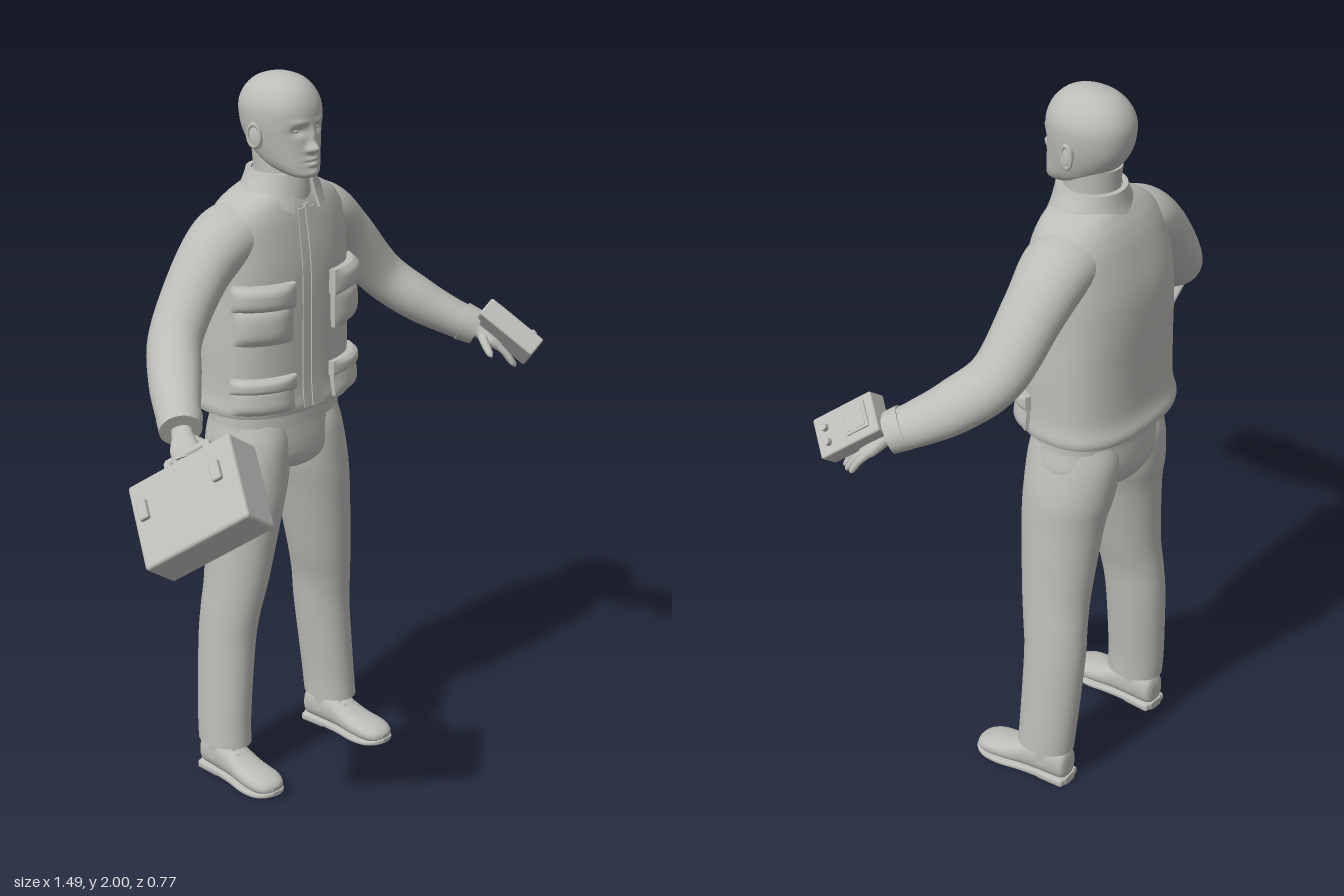
import * as THREE from 'three';
import { RoundedBoxGeometry } from 'three/addons/geometries/RoundedBoxGeometry.js';

const grey = new THREE.MeshStandardMaterial({ color: 0xbcbcb8 });
grey.name = 'plain grey';
const V = (x, y, z) => new THREE.Vector3(x, y, z);
const UP = V(0, 1, 0), FWD = V(0, 0, 1);

function add(parent, name, geometry, x = 0, y = 0, z = 0) {
  const m = new THREE.Mesh(geometry, grey);
  m.name = name;
  m.position.set(x, y, z);
  parent.add(m);
  return m;
}

// Catmull-Rom sample of a list of sections [x, y, z, halfWidth, halfDepth]
function sample(s, t) {
  const i = Math.min(Math.floor(t), s.length - 2), f = t - i;
  const at = k => s[Math.max(0, Math.min(s.length - 1, k))];
  return s[0].map((_, k) => {
    const a = at(i - 1)[k], b = at(i)[k], c = at(i + 1)[k], d = at(i + 2)[k];
    return b + 0.5 * f * (c - a + f * (2 * a - 5 * b + 4 * c - d + f * (3 * (b - c) + d - a)));
  });
}
const power = (v, n) => Math.sign(v) * Math.pow(Math.abs(v), 2 / n);

// Closed skin over superellipse rings; axis fixes the ring direction, otherwise rings follow the path
function loft(sections, { axis, ref = FWD, seg = 40, steps = 8, n = 2, shape } = {}) {
  const rings = (sections.length - 1) * steps, pos = [], idx = [];
  for (let i = 0; i <= rings; i++) {
    const t = i / steps, p = sample(sections, t);
    const a = sample(sections, Math.max(0, t - 0.05)), b = sample(sections, Math.min(sections.length - 1, t + 0.05));
    const T = axis || V(b[0] - a[0], b[1] - a[1], b[2] - a[2]).normalize();
    const U = T.clone().cross(ref).normalize(), W = U.clone().cross(T);
    for (let j = 0; j < seg; j++) {
      const q = j / seg * Math.PI * 2;
      const v = V(p[0], p[1], p[2]).addScaledVector(U, p[3] * power(Math.cos(q), n)).addScaledVector(W, p[4] * power(Math.sin(q), n));
      if (shape) shape(v);
      pos.push(v.x, v.y, v.z);
    }
  }
  for (let i = 0; i < rings; i++) for (let j = 0; j < seg; j++) {
    const p = i * seg + j, r = i * seg + (j + 1) % seg;
    idx.push(p, p + seg, r, r, p + seg, r + seg);
  }
  // end caps with their own vertices
  for (const [ring, section, flip] of [[0, sections[0], 0], [rings, sections[sections.length - 1], 1]]) {
    const c = pos.length / 3;
    pos.push(section[0], section[1], section[2]);
    for (let j = 0; j < seg; j++) {
      const k = (ring * seg + j) * 3, p = c + 1 + j, r = c + 1 + (j + 1) % seg;
      pos.push(pos[k], pos[k + 1], pos[k + 2]);
      idx.push(c, flip ? r : p, flip ? p : r);
    }
  }
  const g = new THREE.BufferGeometry();
  g.setAttribute('position', new THREE.Float32BufferAttribute(pos, 3));
  g.setIndex(idx);
  g.computeVertexNormals();
  return g;
}

// Sections of upright shapes: [y, halfWidth, zFront, zBack]
const upright = list => list.map(([y, w, f, b]) => [0, y, (f + b) / 2, w, (f - b) / 2]);
const JACKET = upright([[1.09, .226, -.066, -.385], [1.11, .23, -.064, -.387], [1.16, .224, -.07, -.374], [1.28, .222, -.07, -.372],
  [1.4, .218, -.07, -.374], [1.5, .218, -.072, -.366], [1.6, .212, -.085, -.338], [1.65, .186, -.095, -.318],
  [1.68, .15, -.105, -.3], [1.7, .108, -.115, -.285], [1.72, .07, -.13, -.265]]);
const COLLAR = upright([[1.655, .128, -.085, -.3], [1.7, .104, -.1, -.284], [1.745, .08, -.108, -.276]]);

// Curved plate lying on an upright surface; angles in degrees, 90 is the front
function plate(surface, centre, span, y0, y1, thick, { bulge = 0, dip = 0, n = 2.5, seg = 16 } = {}) {
  const g = new THREE.BoxGeometry(1, 1, 1, seg, 8, 1), p = g.attributes.position;
  for (let i = 0; i < p.count; i++) {
    const u = p.getX(i), v = p.getY(i), a = (centre - u * span) * Math.PI / 180;
    let y = y0 + (v + 0.5) * (y1 - y0);
    let k = 0;
    while (k < surface.length - 2 && surface[k + 1][1] < y) k++;
    const f = (y - surface[k][1]) / (surface[k + 1][1] - surface[k][1]);
    const [, , zc, w, d] = sample(surface, k + f);
    const round = (1 - Math.pow(2 * u, 4)) * (1 - Math.pow(2 * v, 4));
    const off = p.getZ(i) > 0 ? thick + bulge * round : -0.006;
    y -= dip * Math.pow(Math.max(0, Math.sin(a)), 6) * (0.5 - v);
    p.setXYZ(i, (w + off) * power(Math.cos(a), n), y, zc + (d + off) * power(Math.sin(a), n));
  }
  g.computeVertexNormals();
  return g;
}

// Facial relief: [x, y, depth, spreadX, spreadY]
const FACE = [[0, 1.815, .024, .013, .014], [0, 1.845, .012, .009, .024], [-.036, 1.862, -.013, .018, .012], [.036, 1.862, -.013, .018, .012],
  [-.016, 1.812, .008, .008, .008], [.016, 1.812, .008, .008, .008], [0, 1.786, .009, .02, .006], [0, 1.772, .009, .017, .006],
  [0, 1.779, -.004, .024, .003], [0, 1.748, .006, .022, .012], [-.036, 1.886, .004, .022, .007], [.036, 1.886, .004, .022, .007]];
function sculptFace(v) {
  if (v.z < -.17) return;
  const x = v.x, y = v.y;
  for (const [fx, fy, d, sx, sy] of FACE) v.z += d * Math.exp(-(((x - fx) / sx) ** 2) - ((y - fy) / sy) ** 2);
}

function buildHead(body) {
  add(body, 'neck', loft(upright([[1.66, .075, -.11, -.285], [1.72, .064, -.115, -.27], [1.8, .066, -.12, -.275]]), { axis: UP }));
  add(body, 'head', loft(upright([[1.732, .02, -.08, -.12], [1.742, .045, -.066, -.16], [1.765, .066, -.066, -.225], [1.8, .08, -.07, -.268],
    [1.84, .09, -.072, -.295], [1.88, .096, -.07, -.306], [1.92, .096, -.073, -.306], [1.955, .082, -.088, -.29],
    [1.982, .058, -.115, -.26], [1.996, .028, -.15, -.22], [2, .004, -.18, -.19]]),
    { axis: UP, n: 2.15, seg: 120, steps: 10, shape: sculptFace }));
  for (const s of [-1, 1]) {
    add(body, 'eye', new THREE.SphereGeometry(.013, 16, 12), s * .036, 1.862, -.1).scale.set(1.2, .7, 1);
    const ear = add(body, 'ear', new THREE.SphereGeometry(1, 20, 16), s * .094, 1.842, -.185);
    ear.scale.set(.011, .034, .02);
    ear.rotation.set(-.2, s * -.35, 0);
    const rim = add(body, 'earRim', new THREE.TorusGeometry(.021, .005, 8, 24), s * .1, 1.845, -.186);
    rim.scale.set(.9, 1.4, 1);
    rim.rotation.y = Math.PI / 2 - s * .3;
  }
}

function buildJacket(body) {
  add(body, 'jacket', loft(JACKET, { axis: UP, n: 2.5, seg: 64 }));
  add(body, 'collar', plate(COLLAR, 270, 318, 1.665, 1.742, .008, { dip: .035, n: 2, seg: 64 }));
  add(body, 'innerCollar', loft(upright([[1.66, .09, -.1, -.28], [1.7, .078, -.102, -.276], [1.735, .07, -.106, -.272]]), { axis: UP }));
  add(body, 'frontPlacket', plate(JACKET, 90, 12, 1.1, 1.65, .004));
  add(body, 'zip', plate(JACKET, 90, 2, 1.1, 1.66, .008));
  for (const s of [-1, 1]) {
    const c = 90 - s * 42;
    add(body, 'chestPocket', plate(JACKET, c, 54, 1.3, 1.41, .012, { bulge: .018 }));
    add(body, 'chestPocketFlap', plate(JACKET, c, 57, 1.395, 1.465, .018, { bulge: .018 }));
    add(body, 'hipPocket', plate(JACKET, c, 56, 1.105, 1.185, .01, { bulge: .014 }));
    add(body, 'hipPocketFlap', plate(JACKET, c, 59, 1.165, 1.205, .016, { bulge: .014 }));
    add(body, 'sleeve', loft([[s * .1, 1.585, -.215, .085, .1], [s * .18, 1.575, -.217, .084, .098], [s * .272, 1.5, -.215, .073, .085],
      [s * .385, 1.362, -.19, .066, .076], [s * .46, 1.283, -.115, .062, .072], [s * .52, 1.233, -.04, .053, .062],
      [s * .552, 1.212, .002, .05, .056]], { steps: 10 }));
    add(body, 'cuff', loft([[s * .54, 1.22, -.012, .055, .061], [s * .566, 1.203, .02, .05, .056]]));
  }
}

function buildHand(body, s) {
  const H = V(s * .45, -.6, .65).normalize(), P = V(s * -.5, .167, .5).normalize(), N = P.clone().cross(H);
  add(body, 'palm', loft([[s * .553, 1.212, .005, .026, .022], [s * .57, 1.19, .032, .029, .02], [s * .588, 1.168, .058, .038, .018],
    [s * .6, 1.151, .077, .034, .014]], { ref: N, n: 2.4, seg: 24 }));
  for (let k = 0; k < 4; k++) {
    const o = (k - 1.5) * .018, len = [.05, .062, .066, .058][k] * (s < 0 ? .7 : 1);
    const at = (t, r, bend) => {
      const q = V(s * .597, 1.155, .072).addScaledVector(P, o).addScaledVector(H, t);
      return [q.x, q.y - bend, q.z, r, r];
    };
    add(body, 'finger', loft([at(0, .01, 0), at(len * .5, .0095, .004), at(len * .9, .008, .016), at(len, .003, .021)], { ref: N, seg: 12, steps: 4 }));
  }
  add(body, 'thumb', loft([[s * .565, 1.19, .04, .014, .014], [s * .54, 1.175, .075, .012, .012], [s * .524, 1.157, .108, .01, .01],
    [s * .52, 1.15, .12, .003, .003]], { ref: N, seg: 12, steps: 4 }));
}

function buildLegs(body) {
  add(body, 'trouserTop', loft(upright([[1.12, .186, -.09, -.35], [1.05, .193, -.088, -.355], [.99, .203, -.085, -.356],
    [.95, .185, -.087, -.348], [.92, .11, -.1, -.33], [.9, .05, -.14, -.28]].reverse()), { axis: UP, n: 2.2, seg: 48 }));
  add(body, 'shirtHem', loft(upright([[1.052, .198, -.08, -.358], [1.12, .195, -.08, -.36]]), { axis: UP, n: 2.2, seg: 48 }));
  for (const s of [-1, 1]) {
    // [y, offset, halfWidth, zCentre, halfDepth]
    add(body, 'trouserLeg', loft([[.11, .212, .066, -.208, .083], [.2, .207, .066, -.214, .085], [.4, .189, .07, -.22, .09],
      [.5, .179, .073, -.214, .094], [.6, .162, .081, -.206, .1], [.8, .132, .098, -.204, .117], [.9, .115, .108, -.212, .128],
      [1, .101, .1, -.218, .132], [1.06, .095, .09, -.22, .12]].map(([y, x, w, z, d]) => [s * x, y, z, w, d]), { axis: UP }));
    const foot = new THREE.Group();
    foot.name = 'shoe';
    foot.position.set(s * .212, 0, -.2);
    foot.rotation.y = s * .05;
    body.add(foot);
    const along = (list, opt) => loft(list.map(([z, y, w, h]) => [0, y, z, w, h]), { axis: FWD, ref: UP, ...opt });
    add(foot, 'shoeUpper', along([[-.085, .055, .02, .025], [-.076, .06, .036, .045], [-.04, .068, .044, .054], [.01, .066, .046, .052],
      [.05, .056, .046, .042], [.1, .044, .051, .031], [.16, .037, .052, .026], [.195, .032, .038, .018], [.208, .03, .012, .008]], { n: 2.3 }));
    add(foot, 'shoeSole', along([[-.088, .012, .022, .012], [-.07, .013, .042, .013], [0, .014, .043, .012], [.06, .013, .048, .01],
      [.12, .011, .056, .009], [.17, .013, .053, .009], [.2, .017, .036, .008], [.212, .019, .014, .006]], { n: 4 }));
    add(foot, 'heel', new RoundedBoxGeometry(.084, .024, .085, 2, .008), 0, .012, -.042);
    add(foot, 'ankle', new THREE.CylinderGeometry(.046, .046, .1, 24), 0, .105, -.015);
    for (let k = 0; k < 4; k++) {
      const lace = add(foot, 'lace', new THREE.CapsuleGeometry(.004, .036, 4, 8), 0, .109 - k * .011, .028 + k * .018);
      lace.rotation.z = Math.PI / 2;
    }
  }
}

// Group with local axes turned to x and y directions
function oriented(name, x, y, centre) {
  const g = new THREE.Group(), X = x.normalize(), Z = X.clone().cross(y).normalize();
  g.name = name;
  g.quaternion.setFromRotationMatrix(new THREE.Matrix4().makeBasis(X, Z.clone().cross(X), Z));
  g.position.copy(centre);
  return g;
}

function buildCase() {
  const g = oriented('briefcase', V(.1, -.066, -.005), V(.13, .18, .235), V(-.587, 1.065, .185));
  add(g, 'caseShell', new RoundedBoxGeometry(.12, .324, .24, 3, .01));
  add(g, 'handleBar', new RoundedBoxGeometry(.024, .14, .02, 3, .008), 0, 0, -.158);
  for (const s of [-1, 1]) {
    add(g, 'handlePost', new RoundedBoxGeometry(.024, .022, .05, 2, .006), 0, s * .062, -.138);
    add(g, 'latch', new RoundedBoxGeometry(.022, .028, .055, 2, .005), -.062, s * .115 - .01, -.035);
  }
  return g;
}

function buildMeter() {
  const g = oriented('handheldMeter', V(.05, .037, .005), V(-.055, .064, .075), V(.665, 1.203, .11));
  add(g, 'meterBody', new RoundedBoxGeometry(.06, .11, .186, 2, .006));
  add(g, 'screenFrame', new RoundedBoxGeometry(.008, .072, .07, 2, .003), .031, .004, -.035);
  add(g, 'screen', new THREE.BoxGeometry(.004, .056, .054), .034, .004, -.035);
  for (const y of [-.022, .018]) {
    const knob = add(g, 'knob', new THREE.CylinderGeometry(.009, .01, .016, 16), .035, y, .058);
    knob.rotation.z = -Math.PI / 2;
  }
  return g;
}

export function createModel() {
  const model = new THREE.Group(), body = new THREE.Group();
  model.name = 'standingWorker';
  body.name = 'figure';
  body.position.x = .067;
  model.add(body);
  buildHead(body);
  buildJacket(body);
  buildHand(body, -1);
  buildHand(body, 1);
  buildLegs(body);
  model.add(buildCase(), buildMeter());
  return model;
}
